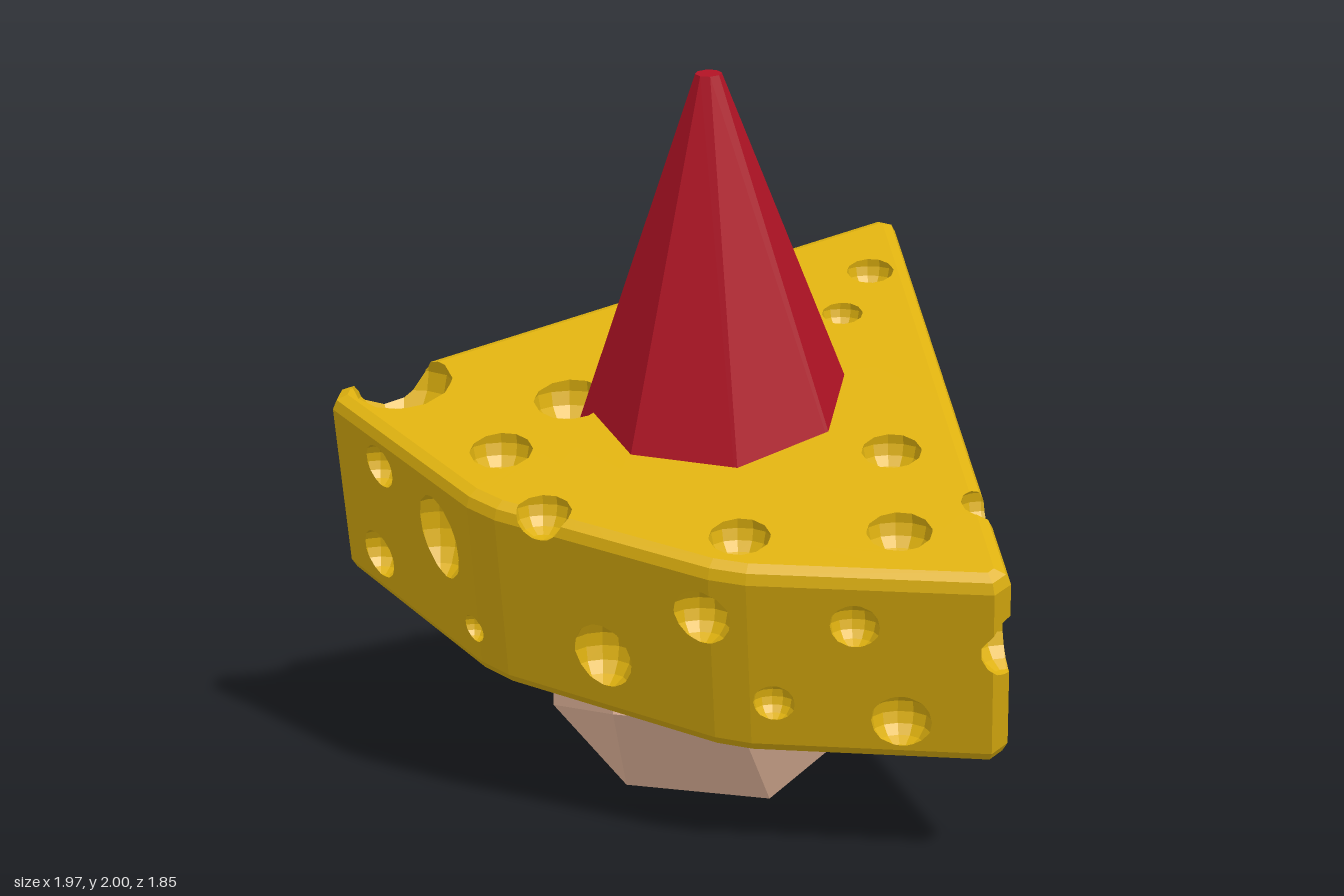
import * as THREE from 'three';

const V = (x, y, z) => new THREE.Vector3(x, y, z);
const mat = (color, flat = true) =>
  new THREE.MeshStandardMaterial({ color, flatShading: flat, side: THREE.DoubleSide });

function part(parent, name, geometry, material, pos = [0, 0, 0]) {
  const m = new THREE.Mesh(geometry, material);
  m.name = name;
  m.position.set(...pos);
  parent.add(m);
  return m;
}

// Polygon helpers: planes, outward winding, clipping, triangulating
const planeOf = p => new THREE.Plane().setFromCoplanarPoints(p[0], p[1], p[2]);
const outward = (poly, centre) => planeOf(poly).distanceToPoint(centre) > 0 ? poly.reverse() : poly;

function clip(poly, plane, side) {
  const out = [];
  poly.forEach((a, i) => {
    const b = poly[(i + 1) % poly.length];
    const da = plane.distanceToPoint(a) * side, db = plane.distanceToPoint(b) * side;
    if (da >= 0) out.push(a);
    if ((da > 1e-7 && db < -1e-7) || (da < -1e-7 && db > 1e-7)) out.push(a.clone().lerp(b, da / (da - db)));
  });
  return out.length > 2 ? out : null;
}

// Cut a convex solid out of a convex polygon, leaving convex pieces
function subtract(poly, planes) {
  const pieces = [];
  let rest = poly;
  for (const pl of planes) {
    const outer = clip(rest, pl, 1);
    if (outer) pieces.push(outer);
    rest = clip(rest, pl, -1);
    if (!rest) return [poly];
  }
  return pieces;
}

function polysToGeometry(polys) {
  const pos = [];
  for (const p of polys)
    for (let i = 1; i < p.length - 1; i++)
      for (const v of [p[0], p[i], p[i + 1]]) pos.push(v.x, v.y, v.z);
  const g = new THREE.BufferGeometry();
  g.setAttribute('position', new THREE.Float32BufferAttribute(pos, 3));
  g.computeVertexNormals();
  return g;
}

// Tilted wedge with bevelled edges, as a list of convex faces
function wedgeFaces() {
  const axis = V(0.05, 0.94, 0.33).normalize();
  const q = new THREE.Quaternion().setFromUnitVectors(V(0, 1, 0), axis);
  const qi = q.clone().invert();
  const level = 1.122, thick = 0.585, chamfer = 0.05;
  const corners = [[0.355, -0.8], [-0.985, 0.4], [-0.4, 0.8], [0.3, 0.945], [1.01, 0.845]].map(([x, z]) => {
    const p = V(x, (level - 0.05 * x - 0.33 * z) / 0.94, z).applyQuaternion(qi);
    return new THREE.Vector2(p.x, p.z);
  });
  const n = corners.length, outline = [];
  corners.forEach((c, i) => {
    for (const o of [corners[(i + n - 1) % n], corners[(i + 1) % n]])
      outline.push(c.clone().add(o.clone().sub(c).setLength(chamfer)));
  });
  const m = outline.length;
  const centre = outline.reduce((s, p) => s.add(p), new THREE.Vector2()).divideScalar(m);
  const normals = outline.map((p, i) => {
    const e = outline[(i + 1) % m].clone().sub(p).normalize();
    const w = new THREE.Vector2(-e.y, e.x);
    return w.dot(centre.clone().sub(p)) < 0 ? w.negate() : w;
  });
  const top = level / Math.hypot(0.05, 0.94, 0.33);
  const ring = ([inset, depth]) => outline.map((p, i) => {
    const a = normals[(i + m - 1) % m], b = normals[i];
    const s = p.clone().add(a.clone().add(b).multiplyScalar(inset / (1 + a.dot(b))));
    return V(s.x, top - depth, s.y).applyQuaternion(q);
  });
  const rings = [[0.04, 0], [0.012, 0.012], [0, 0.04], [0, thick - 0.04], [0.012, thick - 0.012], [0.04, thick]].map(ring);
  const mid = V(centre.x, top - thick / 2, centre.y).applyQuaternion(q);
  const faces = [rings[0].slice(), rings[5].slice()];
  for (let r = 0; r < 5; r++)
    for (let i = 0; i < m; i++) {
      const j = (i + 1) % m;
      faces.push([rings[r][i], rings[r][j], rings[r + 1][j], rings[r + 1][i]]);
    }
  return faces.map(f => outward(f, mid));
}

// Faceted ball used to scoop a hole
function ballFaces(c, r, [sx, sy, sz]) {
  const N = 12, M = 8, faces = [];
  const pt = (i, j) => {
    const t = Math.PI * j / M, p = 2 * Math.PI * (i % N) / N + 0.2;
    return V(c.x + r * sx * Math.sin(t) * Math.cos(p), c.y + r * sy * Math.cos(t), c.z + r * sz * Math.sin(t) * Math.sin(p));
  };
  for (let i = 0; i < N; i++)
    for (let j = 0; j < M; j++) {
      const f = [pt(i, j), pt(i + 1, j), pt(i + 1, j + 1), pt(i, j + 1)];
      if (j === 0) f.splice(1, 1);
      if (j === M - 1) f.splice(2, 1);
      faces.push(outward(f, c));
    }
  return faces;
}

// Holes: side they are scooped from, two coordinates across it, radius, stretch
const HOLES = [
  ['top', -0.78, 0.32, 0.14], ['top', -0.18, -0.03, 0.1], ['top', -0.3, 0.31, 0.1], ['top', -0.41, 0.57, 0.085],
  ['top', -0.22, 0.8, 0.075], ['top', 0.3, 0.8, 0.08], ['top', 0.69, 0.7, 0.085], ['top', 0.6, 0.37, 0.08],
  ['top', 0.33, -0.24, 0.058], ['top', 0.36, -0.47, 0.068], ['top', 0.06, -0.5, 0.065], ['top', -0.06, -0.49, 0.085],
  ['top', -0.27, -0.385, 0.08, [0.9, 1.2, 0.9]], ['top', -0.52, -0.08, 0.11], ['bottom', -0.8, 0.12, 0.08],
  ['front', -0.78, 0.93, 0.063], ['front', -0.84, 0.64, 0.072], ['front', -0.57, 0.78, 0.085, [1, 1.5, 1]],
  ['front', -0.48, 0.53, 0.04], ['front', -0.08, 0.53, 0.09, [0.95, 1.1, 1]], ['front', 0.22, 0.7, 0.08],
  ['front', 0.39, 0.46, 0.055], ['front', 0.61, 0.7, 0.065], ['front', 0.71, 0.42, 0.08], ['front', 0.12, 0.32, 0.06],
  ['right', 0.72, 0.65, 0.09], ['right', 0.53, 0.94, 0.065], ['right', 0.41, 0.54, 0.078], ['right', 0.05, 0.72, 0.1],
  ['right', -0.2, 1.01, 0.1], ['right', -0.7, 0.81, 0.085], ['back', 0.3, 0.97, 0.09],
];

function cheeseGeometry() {
  const body = wedgeFaces(), planes = body.map(planeOf);
  const rays = {
    top: (a, b) => [V(a, 5, b), V(0, -1, 0)], bottom: (a, b) => [V(a, -5, b), V(0, 1, 0)],
    front: (a, b) => [V(a, b, 5), V(0, 0, -1)], back: (a, b) => [V(a, b, -5), V(0, 0, 1)],
    right: (a, b) => [V(5, b, a), V(-1, 0, 0)],
  };
  const balls = HOLES.map(([from, a, b, r, stretch = [1, 1, 1]]) => {
    const [o, d] = rays[from](a, b);
    let t = 0;
    for (const pl of planes) {
      const k = pl.normal.dot(d);
      if (k < -0.05) t = Math.max(t, -pl.distanceToPoint(o) / k);
    }
    return ballFaces(o.addScaledVector(d, t), r, stretch);
  });
  const ballPlanes = balls.map(b => b.map(planeOf));
  const carve = (face, skip) => ballPlanes.reduce(
    (list, pls, i) => i === skip ? list : list.flatMap(p => subtract(p, pls)), [face]);
  const out = body.flatMap(f => carve(f, -1));
  balls.forEach((ball, i) => ball.forEach(f => {
    const inside = planes.reduce((p, pl) => p && clip(p, pl, -1), f);
    if (inside) out.push(...carve(inside, i).map(p => p.slice().reverse()));
  }));
  return polysToGeometry(out);
}

// Eight-sided head narrowing to a square chin, sloped towards the face
function headGeometry() {
  const cx = 0.055, cz = 0.1, rows = [[], [], []];
  for (let k = 0; k < 8; k++) {
    const a = Math.PI * (0.125 + k / 4), c = Math.PI * (0.25 + Math.floor(k / 2) / 2);
    const x = 0.46 * Math.sin(a), z = 0.46 * Math.cos(a);
    const jaw = Math.abs(z) > 0.3 ? 0.213 + 0.077 * Math.sign(z) : 0.21;
    rows[0].push(V(cx + 0.29 * Math.sin(c), 0.005, cz + 0.29 * Math.cos(c)));
    rows[1].push(V(cx + x, jaw, cz + z));
    rows[2].push(V(cx + x, 0.62, cz + z));
  }
  const faces = [rows[0].filter((_, k) => k % 2 === 0).reverse(), rows[2].slice()];
  for (let r = 0; r < 2; r++)
    for (let k = 0; k < 8; k++) {
      const j = (k + 1) % 8;
      faces.push(r === 0 && k % 2 === 0 ? [rows[0][k], rows[1][j], rows[1][k]]
        : [rows[r][k], rows[r][j], rows[r + 1][j], rows[r + 1][k]]);
    }
  return polysToGeometry(faces.map(f => outward(f, V(cx, 0.35, cz))));
}

export function createModel() {
  const model = new THREE.Group();
  model.name = 'cheeseHatFigure';
  const skin = mat(0xf3c3a6), red = mat(0xb01224), black = mat(0x0a0a0a, false);

  part(model, 'cheeseWedge', cheeseGeometry(), mat(0xddb00f));

  // Pointed hat passing through the cheese, with a hollow brim
  const base = V(0.07, 0.58, 0.1), axis = V(0.09, 2, 0.32).sub(base), len = axis.length();
  const profile = [[0, 0.05], [0.49, 0], [0.49, -0.12], [0.545, -0.12], [0.555, 0], [0.035, len], [0, len]];
  const hat = part(model, 'pointedHat',
    new THREE.LatheGeometry(profile.map(p => new THREE.Vector2(...p)), 8, Math.PI / 8), red, base.toArray());
  hat.quaternion.setFromUnitVectors(V(0, 1, 0), axis.normalize());

  // Head and face, looking towards the back
  part(model, 'head', headGeometry(), skin);
  part(model, 'nose', new THREE.SphereGeometry(0.034, 14, 10), mat(0xd9819c, false), [0.06, 0.26, -0.34]);
  for (const s of [-1, 1]) {
    part(model, s > 0 ? 'leftEye' : 'rightEye', new THREE.SphereGeometry(0.018, 12, 8), black, [0.06 + s * 0.125, 0.385, -0.33]);
    const ear = part(model, s > 0 ? 'leftEar' : 'rightEar', new THREE.CylinderGeometry(0.11, 0.11, 0.06, 16), skin,
      [0.055 + s * 0.425, 0.385, 0.01]);
    ear.rotation.x = Math.PI / 2;
  }
  const bar = part(model, 'earBar', new THREE.CylinderGeometry(0.022, 0.022, 0.23, 8), mat(0x8a979c), [0.535, 0.315, 0.02]);
  bar.rotation.x = Math.PI / 2 + 0.09;

  return model;
}
